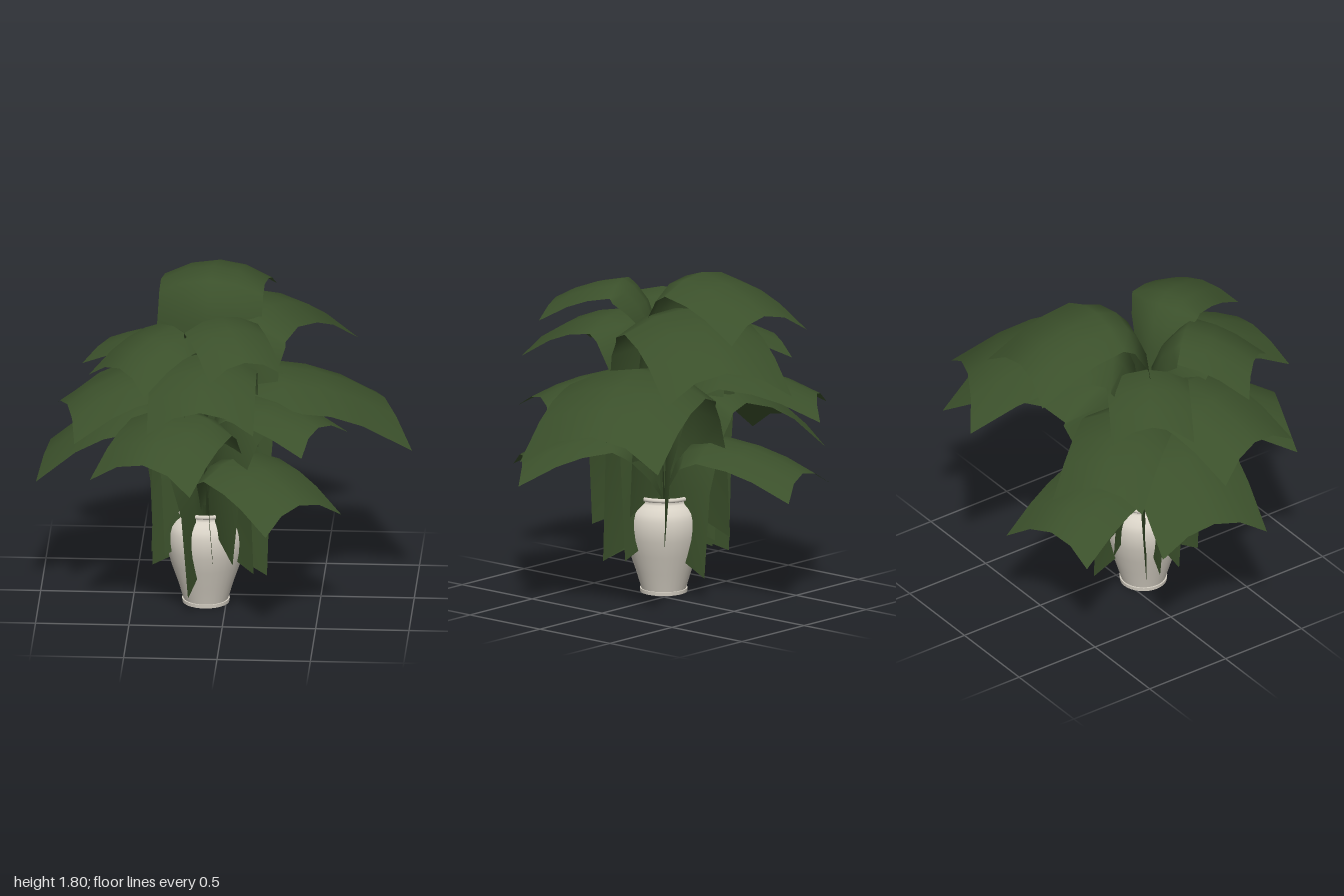
import * as THREE from 'three';

// Centre of the pot, from which all leaves grow
const CX = -0.11, CZ = 0.1;

// tip x, tip z, apex height, tip corner height, half width, root corner height, narrow stalk?
const LEAVES = [
  // top tier
  [-0.055, -0.67, 1.8, 1.52, 0.28, 0.45, 0],
  [0.33, -0.74, 1.63, 1.25, 0.36, 0.2, 0],
  [0.13, 0.66, 1.7, 1.48, 0.21, 0.4, 1],
  [-0.55, 0.51, 1.62, 1.37, 0.23, 0.3, 1],
  [-0.64, -0.22, 1.49, 1.28, 0.22, 0.3, 1],
  // middle tier
  [0.83, -0.22, 1.3, 0.89, 0.4, 0.34, 0],
  [-0.84, 0.31, 1.37, 1.06, 0.29, 0.3, 0],
  [-0.1, 0.83, 1.51, 1.22, 0.285, 0.21, 0],
  [0.51, 0.43, 1.23, 1.02, 0.24, 0.25, 1],
  [-0.61, -0.55, 1.25, 0.99, 0.25, 0.3, 0],
  // low tier
  [-0.95, -0.04, 1.14, 0.72, 0.31, 0.12, 0],
  [0.42, 0.64, 0.91, 0.64, 0.27, 0.2, 1],
  [-0.41, 0.78, 1.18, 0.89, 0.3, 0.21, 0],
  [-0.35, -0.68, 0.87, 0.61, 0.27, 0.2, 1],
];

// Bow of the cross-section along the leaf, and widths for sheet and stalk leaves
const BOW = [0.1, 0.18, 0.33, 0.4, 0.37, 0.32, 0.3, 0.3, 0.3];
const SHEET = [1, 1, 1, 1, 1, 1, 1, 1, 1];
const STALK = [0.16, 0.2, 0.45, 0.8, 0.97, 1, 1, 1, 1];

// An arching sheet: a path in the (reach, height) plane, swept by a bowed cross-section
function leafGeometry([tx, tz, apex, cornerY, half, rootY, stalk]) {
  const reach = Math.hypot(tx - CX, tz - CZ);
  const dx = (tx - CX) / reach, dz = (tz - CZ) / reach;
  const y0 = rootY + 0.3 * half;
  const tipY = cornerY + 0.42 * half;
  const fall = apex - tipY;
  const path = [
    [0, y0], [0.01, y0 + (apex - y0) * 0.4], [0.045, apex - 0.26],
    [0.1, apex - 0.12], [0.17, apex - 0.04], [0.38 * reach, apex],
    [0.62 * reach, apex - fall * 0.22], [0.82 * reach, apex - fall * 0.55],
    [reach, tipY],
  ].map(([r, y]) => new THREE.Vector2(r, y));
  const widths = stalk ? STALK : SHEET;
  const COLS = 4, last = path.length - 1;
  const pos = [], index = [];
  path.forEach((p, i) => {
    const t = path[Math.min(i + 1, last)].clone().sub(path[Math.max(i - 1, 0)]).normalize();
    const w = half * widths[i];
    // corners reach a little further at both ends
    const ext = i === last ? 0.3 * w : i === 0 ? -0.3 * w : 0;
    for (let j = 0; j <= COLS; j++) {
      const u = (j / COLS) * 2 - 1, q = u * u;
      const r = p.x + t.y * BOW[i] * w * q + t.x * ext * q;
      const y = p.y - t.x * BOW[i] * w * q + t.y * ext * q;
      pos.push(CX + dx * r - dz * u * w, y, CZ + dz * r + dx * u * w);
      if (i < last && j < COLS) {
        const a = i * (COLS + 1) + j, b = a + COLS + 1;
        index.push(a, a + 1, b, b, a + 1, b + 1);
      }
    }
  });
  const g = new THREE.BufferGeometry();
  g.setAttribute('position', new THREE.Float32BufferAttribute(pos, 3));
  g.setIndex(index);
  g.computeVertexNormals();
  return g;
}

export function createModel() {
  const model = new THREE.Group();
  model.name = 'pottedPlant';
  const leafGreen = new THREE.MeshStandardMaterial({ color: 0x3b502b, side: THREE.DoubleSide });
  leafGreen.name = 'leafGreen';
  const potCream = new THREE.MeshStandardMaterial({ color: 0xd6d0c4, side: THREE.DoubleSide });
  potCream.name = 'potCream';

  // Urn-shaped pot with foot ring, shoulder, neck and rolled rim
  const body = [
    [0.12, 0.02], [0.15, 0.12], [0.185, 0.22], [0.21, 0.31], [0.217, 0.37],
    [0.214, 0.42], [0.203, 0.455], [0.178, 0.483], [0.152, 0.5], [0.148, 0.512], [0.152, 0.53],
  ].map(([r, y]) => new THREE.Vector2(r, y));
  const pot = new THREE.Group();
  pot.name = 'pot';
  pot.position.set(CX, 0, CZ);
  const add = (geometry, name, y) => {
    const m = new THREE.Mesh(geometry, potCream);
    m.name = name;
    m.position.y = y;
    pot.add(m);
    return m;
  };
  add(new THREE.LatheGeometry(body, 32), 'potBody', 0);
  add(new THREE.CylinderGeometry(0.128, 0.126, 0.02, 32), 'potFoot', 0.01);
  add(new THREE.TorusGeometry(0.152, 0.012, 8, 32), 'potRim', 0.528).rotation.x = Math.PI / 2;
  model.add(pot);

  // Foliage
  const foliage = new THREE.Group();
  foliage.name = 'foliage';
  LEAVES.forEach((leaf, i) => {
    const m = new THREE.Mesh(leafGeometry(leaf), leafGreen);
    m.name = `leaf${i + 1}`;
    foliage.add(m);
  });
  model.add(foliage);
  return model;
}
